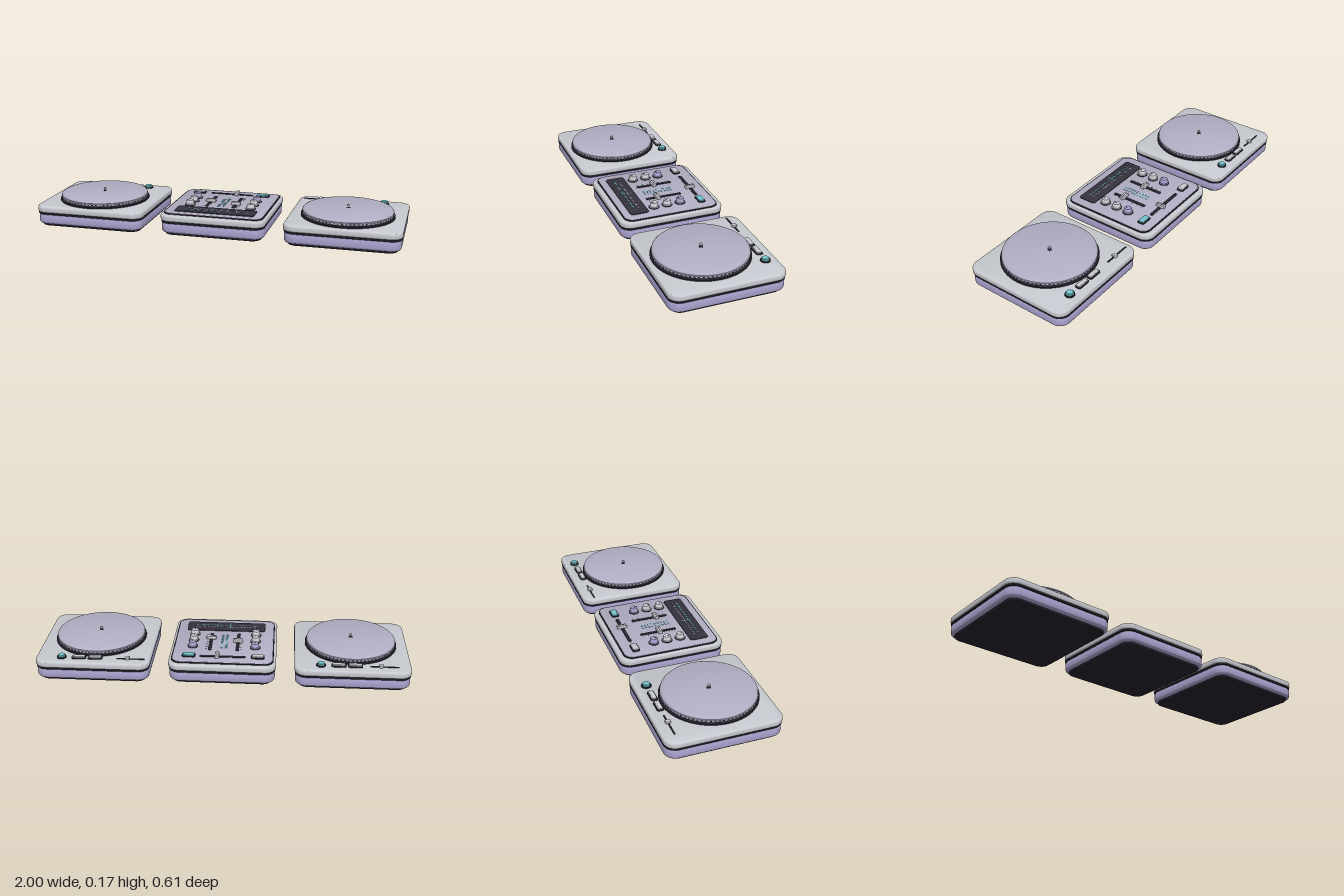
import * as THREE from 'three';
import { toCreasedNormals } from 'three/addons/utils/BufferGeometryUtils.js';

const paint = (name, color) => {
  const m = new THREE.MeshStandardMaterial({ color });
  m.name = name;
  return m;
};

export function createModel() {
  const shellGrey = paint('shell grey', 0xc6c9cf);
  const lavender = paint('body lavender', 0xa79fca);
  const paleLavender = paint('pale lavender', 0xb2aec4);
  const dark = paint('dark rubber', 0x25212b);
  const screenDark = paint('screen charcoal', 0x35323d);
  const teal = paint('teal', 0x74c6ce);

  const add = (parent, name, geometry, material, x = 0, y = 0, z = 0) => {
    const mesh = new THREE.Mesh(geometry, material);
    mesh.name = name;
    mesh.position.set(x, y, z);
    parent.add(mesh);
    return mesh;
  };

  // Rounded slab standing on y = 0, with softened top and bottom edges
  const slab = (w, d, h, r, b) => {
    const s = new THREE.Shape(), x = w / 2 - b, y = d / 2 - b, c = Math.max(r - b, 0.001);
    s.moveTo(-x + c, -y);
    s.lineTo(x - c, -y);
    s.absarc(x - c, -y + c, c, -Math.PI / 2, 0);
    s.absarc(x - c, y - c, c, 0, Math.PI / 2);
    s.absarc(-x + c, y - c, c, Math.PI / 2, Math.PI);
    s.absarc(-x + c, -y + c, c, Math.PI, Math.PI * 1.5);
    const g = new THREE.ExtrudeGeometry(s, {
      depth: h - 2 * b, bevelEnabled: true, bevelSize: b, bevelThickness: b,
      bevelSegments: 4, curveSegments: 8,
    });
    g.translate(0, 0, b);
    g.rotateX(-Math.PI / 2);
    return toCreasedNormals(g, 0.7);
  };

  const lathe = (points) => toCreasedNormals(
    new THREE.LatheGeometry(points.map(([r, y]) => new THREE.Vector2(r, y)), 64), 0.6);

  // Stacked casing shared by the decks and the mixer
  const casing = (g, w, d) => {
    add(g, 'footPlate', slab(w - 0.045, d - 0.04, 0.03, 0.05, 0.006), dark);
    add(g, 'lowerBody', slab(w - 0.01, d - 0.006, 0.059, 0.06, 0.015), lavender, 0, 0.012);
    add(g, 'seam', slab(w - 0.006, d - 0.002, 0.012, 0.06, 0.004), dark, 0, 0.067);
    add(g, 'topShell', slab(w, d, 0.037, 0.06, 0.011), shellGrey, 0, 0.076);
  };

  const padButton = (g, name, x, y, z, w, d, material) => {
    add(g, name + 'Base', slab(w, d, 0.006, 0.011, 0.002), dark, x, y, z);
    add(g, name, slab(w - 0.01, d - 0.01, 0.012, 0.008, 0.003), material, x, y + 0.002, z);
  };

  const makeDeck = (x, sliderX) => {
    const g = new THREE.Group();
    g.name = 'deck';
    g.position.x = x;
    casing(g, 0.615, 0.605);
    const top = 0.112;

    // Jog platter with notched rim
    const platter = new THREE.Group();
    platter.name = 'platter';
    platter.position.set(0, top, 0.027);
    g.add(platter);
    add(platter, 'platterBase', lathe([[0, 0], [0.25, 0], [0.25, 0.008], [0.238, 0.013], [0, 0.013]]), dark);
    add(platter, 'platterDisc', lathe([
      [0, 0.01], [0.238, 0.01], [0.243, 0.014], [0.243, 0.025], [0.239, 0.027], [0.242, 0.029],
      [0.241, 0.033], [0.236, 0.038], [0.228, 0.041], [0, 0.041],
    ]), paleLavender);
    const notch = new THREE.BoxGeometry(0.009, 0.004, 0.004);
    for (let i = 0; i < 72; i++) {
      const a = (i / 72) * Math.PI * 2;
      add(platter, 'rimNotch', notch, dark, Math.sin(a) * 0.242, 0.0195, Math.cos(a) * 0.242).rotation.y = a;
    }
    add(platter, 'spindle', new THREE.CylinderGeometry(0.006, 0.008, 0.009, 20), shellGrey, 0, 0.0555, 0);
    add(platter, 'spindleRing', new THREE.CylinderGeometry(0.011, 0.011, 0.002, 24), dark, 0, 0.041, 0);

    // Pitch slider and buttons along the back
    const z = -0.24;
    add(g, 'pitchTrack', new THREE.BoxGeometry(0.15, 0.004, 0.008), dark, sliderX - 0.018, top + 0.002, z);
    add(g, 'pitchCap', slab(0.02, 0.028, 0.014, 0.005, 0.003), shellGrey, sliderX, top, z);
    padButton(g, 'deckButton', -0.013, top, z, 0.078, 0.036, shellGrey);
    padButton(g, 'deckButton', 0.075, top, z, 0.078, 0.036, shellGrey);
    add(g, 'playButtonBase', new THREE.CylinderGeometry(0.025, 0.026, 0.007, 32), dark, 0.168, top + 0.0035, z);
    add(g, 'playButton', lathe([[0.02, 0], [0.02, 0.015], [0.017, 0.018], [0, 0.018]]), teal, 0.168, top, z);
    return g;
  };

  const makeMixer = () => {
    const g = new THREE.Group();
    g.name = 'mixer';
    casing(g, 0.575, 0.58);
    add(g, 'panelTrim', slab(0.548, 0.53, 0.009, 0.05, 0.002), dark, 0, 0.109);
    add(g, 'panel', slab(0.536, 0.518, 0.011, 0.045, 0.002), paleLavender, 0, 0.109);
    const top = 0.12;

    // Crossfader and corner buttons
    add(g, 'crossfaderSlot', slab(0.245, 0.019, 0.003, 0.006, 0.001), dark, 0, top, -0.192);
    add(g, 'crossfaderCap', slab(0.022, 0.055, 0.018, 0.005, 0.003), shellGrey, 0.029, top, -0.192);
    add(g, 'crossfaderMark', new THREE.BoxGeometry(0.003, 0.001, 0.045), dark, 0.029, top + 0.018, -0.192);
    padButton(g, 'leftButton', -0.19, top, -0.19, 0.072, 0.042, shellGrey);
    padButton(g, 'rightButton', 0.182, top, -0.19, 0.072, 0.042, teal);

    // Mirrored channel strips: fader, level lights and three knobs
    const tick = new THREE.BoxGeometry(0.008, 0.001, 0.002);
    const light = new THREE.BoxGeometry(0.012, 0.002, 0.008);
    const knob = lathe([[0.027, 0], [0.025, 0.006], [0.022, 0.008], [0.021, 0.024], [0.018, 0.029], [0, 0.029]]);
    for (const side of [-1, 1]) {
      const fx = side * 0.075, capZ = side < 0 ? -0.012 : 0.02;
      add(g, 'faderSlot', slab(0.019, 0.205, 0.003, 0.006, 0.001), dark, fx, top, -0.017);
      add(g, 'faderCap', slab(0.054, 0.024, 0.018, 0.005, 0.003), shellGrey, fx, top, capZ);
      add(g, 'faderMark', new THREE.BoxGeometry(0.045, 0.001, 0.003), dark, fx, top + 0.018, capZ);
      for (let i = 0; i < 7; i++)
        add(g, 'faderTick', tick, dark, fx + side * 0.018, top + 0.0005, -0.107 + i * 0.03);
      for (let i = 0; i < 9; i++)
        add(g, 'levelLight', light, teal, side * 0.012, top + 0.001, -0.085 + i * 0.019);
      for (let i = 0; i < 3; i++) {
        const kx = side * 0.171, kz = -0.076 + i * 0.075;
        add(g, 'knobBase', new THREE.CylinderGeometry(0.029, 0.029, 0.003, 32), dark, kx, top + 0.0015, kz);
        add(g, 'knob', knob, i === 0 ? lavender : shellGrey, kx, top, kz);
        add(g, 'knobPointer', new THREE.BoxGeometry(0.003, 0.002, 0.014), dark, kx, top + 0.029, kz + 0.009);
      }
    }

    // Waveform display
    add(g, 'screen', slab(0.44, 0.103, 0.005, 0.014, 0.001), screenDark, 0, top, 0.169);
    for (const [row, material] of [[0, paleLavender], [1, teal]]) {
      for (let i = 0; i < 48; i++) {
        const h = 0.004 + 0.006 * Math.abs(Math.sin(i * 1.7 + row * 2) * Math.cos(i * 0.31));
        add(g, 'waveBar', new THREE.BoxGeometry(0.0035, 0.001, h), material,
          -0.172 + i * 0.0073, top + 0.0055, 0.158 + row * 0.024);
      }
    }
    add(g, 'playhead', new THREE.BoxGeometry(0.003, 0.001, 0.065), teal, -0.022, top + 0.006, 0.17);
    return g;
  };

  const model = new THREE.Group();
  model.name = 'turntableSet';
  model.add(makeDeck(-0.6925, -0.147), makeMixer(), makeDeck(0.6925, -0.187));
  return model;
}
